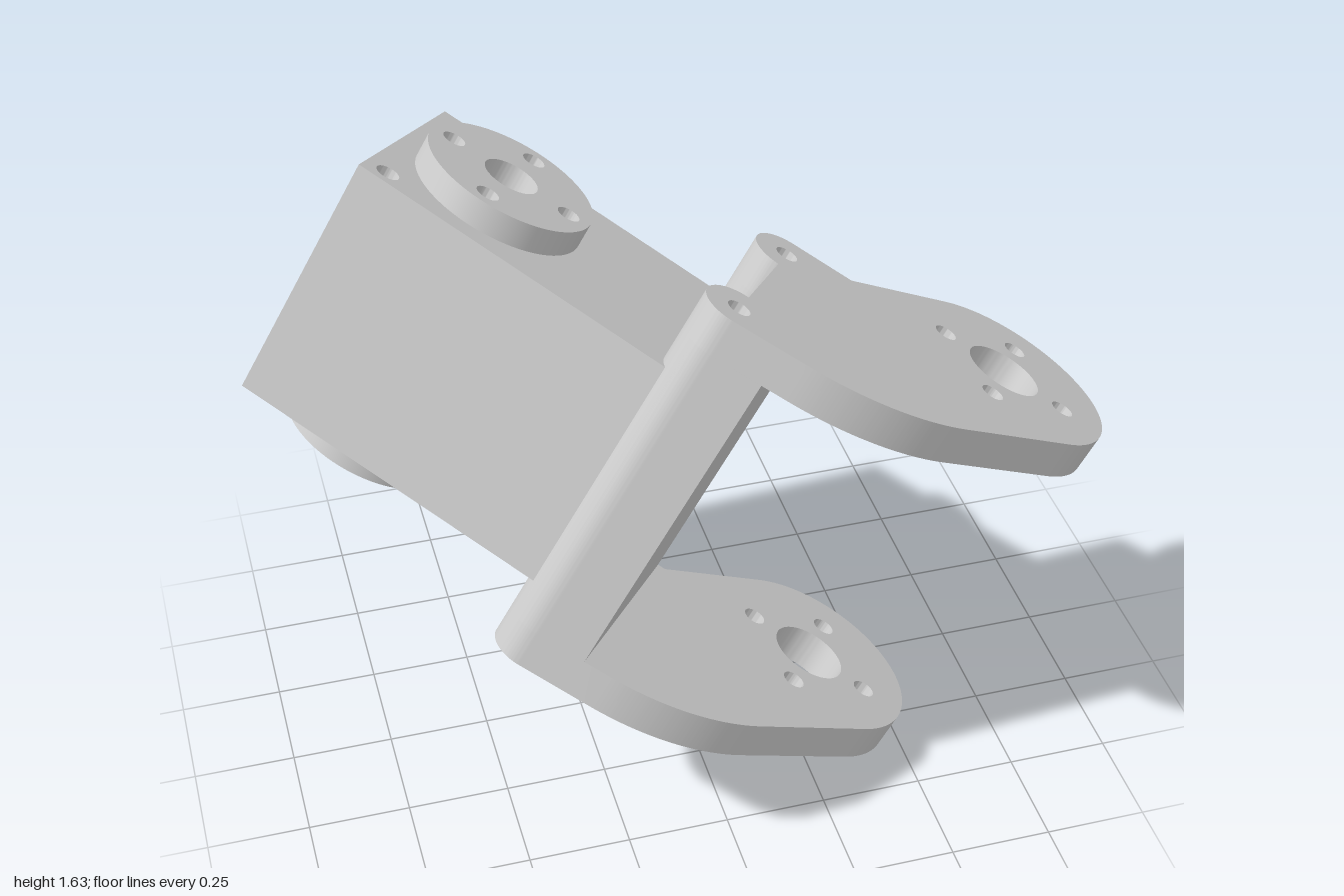
import * as THREE from 'three';
import { toCreasedNormals } from 'three/addons/utils/BufferGeometryUtils.js';

const rad = THREE.MathUtils.degToRad;
const material = new THREE.MeshStandardMaterial({ color: 0xcccccc });

// Plan positions are (x, z); everything is extruded along the tilted vertical axis
const LUG_A = [-0.667, 0.34], LUG_B = [-0.407, -0.018], LUG_R = 0.083;
const ARM_HUB = [0.148, 0.2], HORN = [-1.038, -0.2];
const SCREW_R = 0.028, PLATE = 0.096, BOTTOM = 0.25, TOP = 1.265;

function arc(shape, [x, z], r, from, to) {
  shape.absarc(x, z, r, rad(from), rad(to), false);
}

function drill(shape, [x, z], r) {
  shape.holes.push(new THREE.Path().absarc(x, z, r, 0, Math.PI * 2, true));
}

// Central bore with four screws around it
function drillHub(shape, [x, z], bore, ring) {
  drill(shape, [x, z], bore);
  for (let i = 0; i < 4; i++) {
    const a = rad(36 + i * 90);
    drill(shape, [x + ring * Math.cos(a), z + ring * Math.sin(a)], SCREW_R);
  }
}

// Extrudes a plan shape from height y0 up to y1
function slab(name, shape, y0, y1) {
  let g = new THREE.ExtrudeGeometry(shape, { depth: y1 - y0, bevelEnabled: false, curveSegments: 40 });
  g.rotateX(Math.PI / 2);
  g.translate(0, y1, 0);
  g = toCreasedNormals(g, 0.5);
  const mesh = new THREE.Mesh(g, material);
  mesh.name = name;
  return mesh;
}

// Two screw lugs joined by the straight back edge
function lugEdge(shape) {
  arc(shape, LUG_A, LUG_R, 119, 306);
  arc(shape, LUG_B, LUG_R, 126, 301.7);
  drill(shape, LUG_A, SCREW_R);
  drill(shape, LUG_B, SCREW_R);
}

function armShape() {
  const s = new THREE.Shape();
  lugEdge(s);
  s.lineTo(-0.225, 0);
  arc(s, ARM_HUB, 0.275, 257.5, 435.3);
  arc(s, [-0.27, 0.015], 0.56, 75.3, 119.1);
  s.closePath();
  drillHub(s, ARM_HUB, 0.095, 0.165);
  return s;
}

function webShape() {
  const s = new THREE.Shape();
  lugEdge(s);
  s.lineTo(-0.245, -0.008);
  s.lineTo(-0.598, 0.474);
  s.closePath();
  return s;
}

function bodyShape() {
  const s = new THREE.Shape();
  s.moveTo(-1.409, -0.137);
  s.lineTo(-1.093, -0.577);
  s.lineTo(-0.380, -0.059);
  s.lineTo(-0.696, 0.381);
  s.closePath();
  drill(s, [-1.335, -0.145], SCREW_R);
  drill(s, [-1.075, -0.503], SCREW_R);
  return s;
}

function hornShape() {
  const s = new THREE.Shape();
  arc(s, HORN, 0.212, 0, 360);
  drillHub(s, HORN, 0.068, 0.158);
  return s;
}

export function createModel() {
  const model = new THREE.Group();
  model.name = 'servoBracket';

  // U-shaped bracket: two arms and the web between them
  const bracket = new THREE.Group();
  bracket.name = 'bracket';
  bracket.add(
    slab('upperArm', armShape(), TOP - PLATE, TOP),
    slab('lowerArm', armShape(), BOTTOM, BOTTOM + PLATE),
    slab('web', webShape(), BOTTOM + PLATE, TOP - PLATE)
  );

  // Motor block with a round horn above and below
  const motor = new THREE.Group();
  motor.name = 'motor';
  motor.add(
    slab('motorBody', bodyShape(), 0.44, 1.072),
    slab('upperHorn', hornShape(), 1.072, 1.138),
    slab('lowerHorn', hornShape(), 0.373, 0.44)
  );

  model.add(bracket, motor);
  model.rotation.z = rad(-30);
  return model;
}
